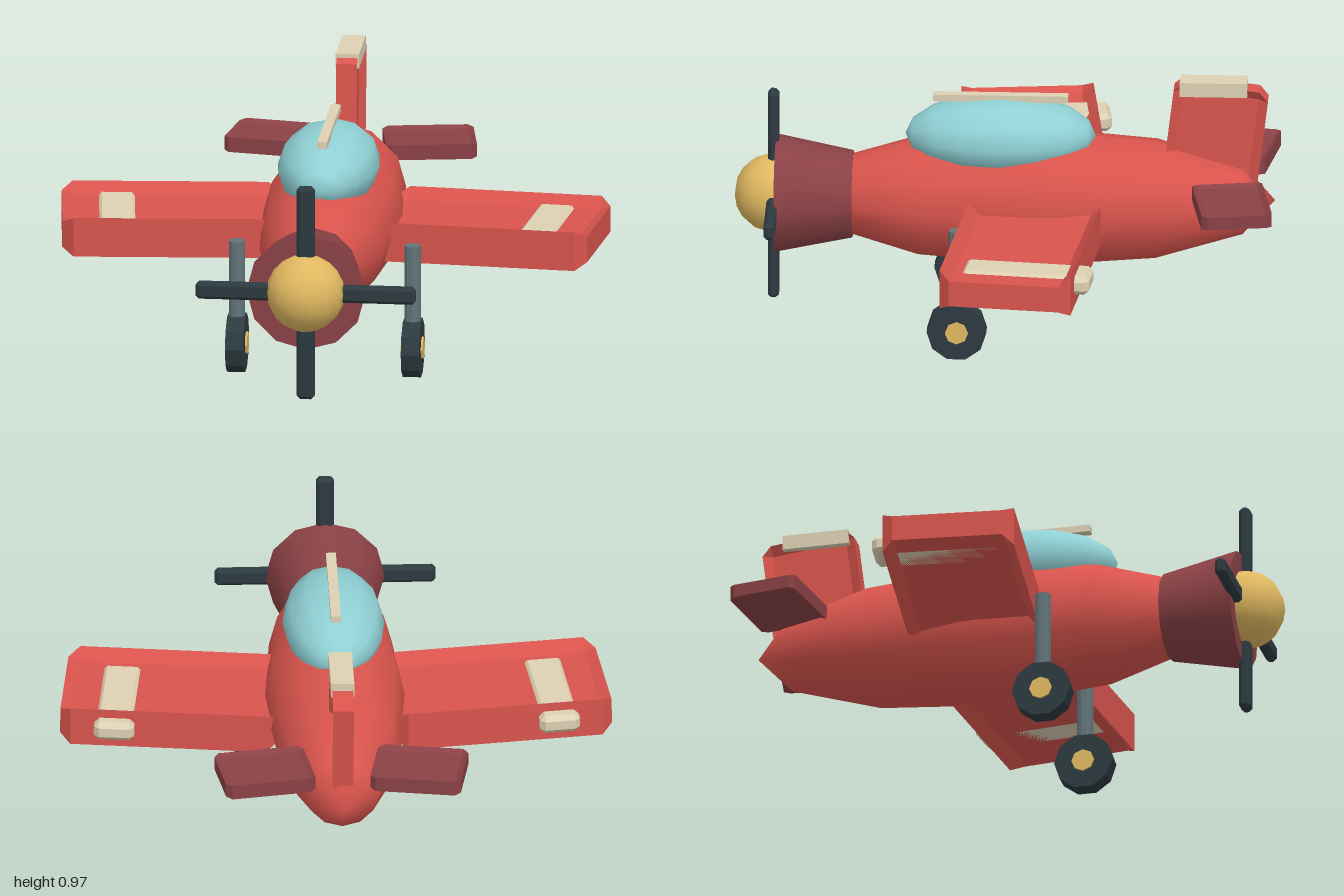
import * as THREE from 'three';

const mat = (color, extra = {}) => new THREE.MeshStandardMaterial({ color, ...extra });
const smooth = {
  red: mat(0xd9544d), maroon: mat(0x8a4145), teal: mat(0x8fd0d4), gold: mat(0xe0b860),
};
const flat = { flatShading: true, side: THREE.DoubleSide };
const faceted = {
  red: mat(0xd9544d, flat), maroon: mat(0x8a4145, flat), cream: mat(0xddd0b3, flat),
  dark: mat(0x2c3a40, flat), steel: mat(0x62747a, flat), gold: mat(0xe0b860, flat),
};

function add(parent, name, geometry, material, x = 0, y = 0, z = 0) {
  const mesh = new THREE.Mesh(geometry, material);
  mesh.name = name;
  mesh.position.set(x, y, z);
  parent.add(mesh);
  return mesh;
}

// Box with bevelled edges, given half sizes. wx and wz are the half heights of the
// side walls; when they exceed hy the rim flares into a flange around a thin plate.
function bevelBox(hx, hy, hz, b, wx = hy - b, wz = wx) {
  const pos = [];
  const tri = (p, q, r, flip) => pos.push(...p, ...(flip ? r : q), ...(flip ? q : r));
  const quad = (p, q, r, s, flip) => { tri(p, q, r, flip); tri(p, r, s, flip); };
  const X = (i, j, k) => [i * hx, j * wx, k * (hz - b)];
  const Y = (i, j, k) => [i * (hx - b), j * hy, k * (hz - b)];
  const Z = (i, j, k) => [i * (hx - b), j * wz, k * hz];
  for (const s of [1, -1]) {
    const f = s < 0;
    quad(X(s, -1, -1), X(s, 1, -1), X(s, 1, 1), X(s, -1, 1), f);
    quad(Y(-1, s, -1), Y(-1, s, 1), Y(1, s, 1), Y(1, s, -1), f);
    quad(Z(-1, -1, s), Z(1, -1, s), Z(1, 1, s), Z(-1, 1, s), f);
    for (const t of [1, -1]) {
      const g = s * t < 0;
      quad(X(s, t, 1), X(s, t, -1), Y(s, t, -1), Y(s, t, 1), g);
      quad(Y(1, s, t), Y(-1, s, t), Z(-1, s, t), Z(1, s, t), g);
      quad(Z(s, 1, t), Z(s, -1, t), X(s, -1, t), X(s, 1, t), g);
      for (const u of [1, -1]) tri(X(s, t, u), Y(s, t, u), Z(s, t, u), s * t * u < 0);
    }
  }
  const geo = new THREE.BufferGeometry();
  geo.setAttribute('position', new THREE.Float32BufferAttribute(pos, 3));
  geo.computeVertexNormals();
  return geo;
}

// Sphere with its poles on the z axis, stretched to the given radii
const ellipsoid = (rx, ry, rz, sides, rings) =>
  new THREE.SphereGeometry(1, sides, rings).rotateX(Math.PI / 2).scale(rx, ry, rz);

// Wing, tailplane and landing gear of the left side
function buildSide() {
  const side = new THREE.Group();

  const wing = new THREE.Group();
  wing.name = 'wing';
  wing.position.set(0.585, 0.493, -0.08);
  wing.rotation.set(0, -0.11, 0.01);
  add(wing, 'wingPanel', bevelBox(0.395, 0.03, 0.24, 0.04, 0.048, 0.073), faceted.red);
  add(wing, 'wingStripe', bevelBox(0.073, 0.035, 0.235, 0.018), faceted.cream, 0.195, 0.005, -0.057);
  side.add(wing);

  const tailplane = add(side, 'tailplane', bevelBox(0.165, 0.014, 0.128, 0.02, 0.024, 0.028),
    faceted.maroon, 0.28, 0.588, -0.835);
  tailplane.rotation.y = 0.16;

  const gear = new THREE.Group();
  gear.name = 'landingGear';
  gear.position.set(0.32, 0.107, 0.16);
  add(gear, 'strut', new THREE.CylinderGeometry(0.03, 0.03, 0.3, 10), faceted.steel, 0, 0.235, 0);
  add(gear, 'wheel', new THREE.CylinderGeometry(0.108, 0.108, 0.066, 10).rotateZ(Math.PI / 2), faceted.dark);
  add(gear, 'wheelHub', new THREE.CylinderGeometry(0.042, 0.042, 0.08, 8).rotateZ(Math.PI / 2), faceted.gold);
  side.add(gear);
  return side;
}

export function createModel() {
  const plane = new THREE.Group();
  plane.name = 'propellerPlane';

  // Body, cowl and canopy
  add(plane, 'fuselage', ellipsoid(0.257, 0.252, 0.86, 12, 6), smooth.red, 0, 0.505, -0.12);
  add(plane, 'engineCowl', new THREE.CylinderGeometry(0.217, 0.16, 0.28, 12).rotateX(Math.PI / 2),
    smooth.maroon, 0, 0.503, 0.69);
  add(plane, 'canopy', ellipsoid(0.185, 0.145, 0.345, 12, 8), smooth.teal, 0, 0.745, 0.015);
  add(plane, 'canopyRail', new THREE.BoxGeometry(0.036, 0.026, 0.49), faceted.cream, 0, 0.888, 0.015);

  // Spinner and crossed propeller blades
  const propeller = new THREE.Group();
  propeller.name = 'propeller';
  propeller.position.set(0, 0.503, 0.838);
  add(propeller, 'spinner', new THREE.SphereGeometry(0.143, 14, 10), smooth.gold);
  for (const angle of [0, Math.PI / 2]) {
    add(propeller, 'blade', bevelBox(0.4, 0.032, 0.02, 0.012), faceted.dark).rotation.z = angle;
  }
  plane.add(propeller);

  // Upright fin with its light cap
  const fin = add(plane, 'tailFin',
    bevelBox(0.2, 0.015, 0.172, 0.035, 0.038, 0.038).rotateZ(Math.PI / 2), faceted.red, 0, 0.755, -0.765);
  fin.rotation.x = -0.12;
  add(plane, 'finCap', new THREE.BoxGeometry(0.085, 0.054, 0.245), faceted.cream, 0, 0.944, -0.758);

  // Mirrored halves
  const left = buildSide();
  left.name = 'leftSide';
  const right = buildSide();
  right.name = 'rightSide';
  right.scale.x = -1;
  plane.add(left, right);

  return plane;
}
